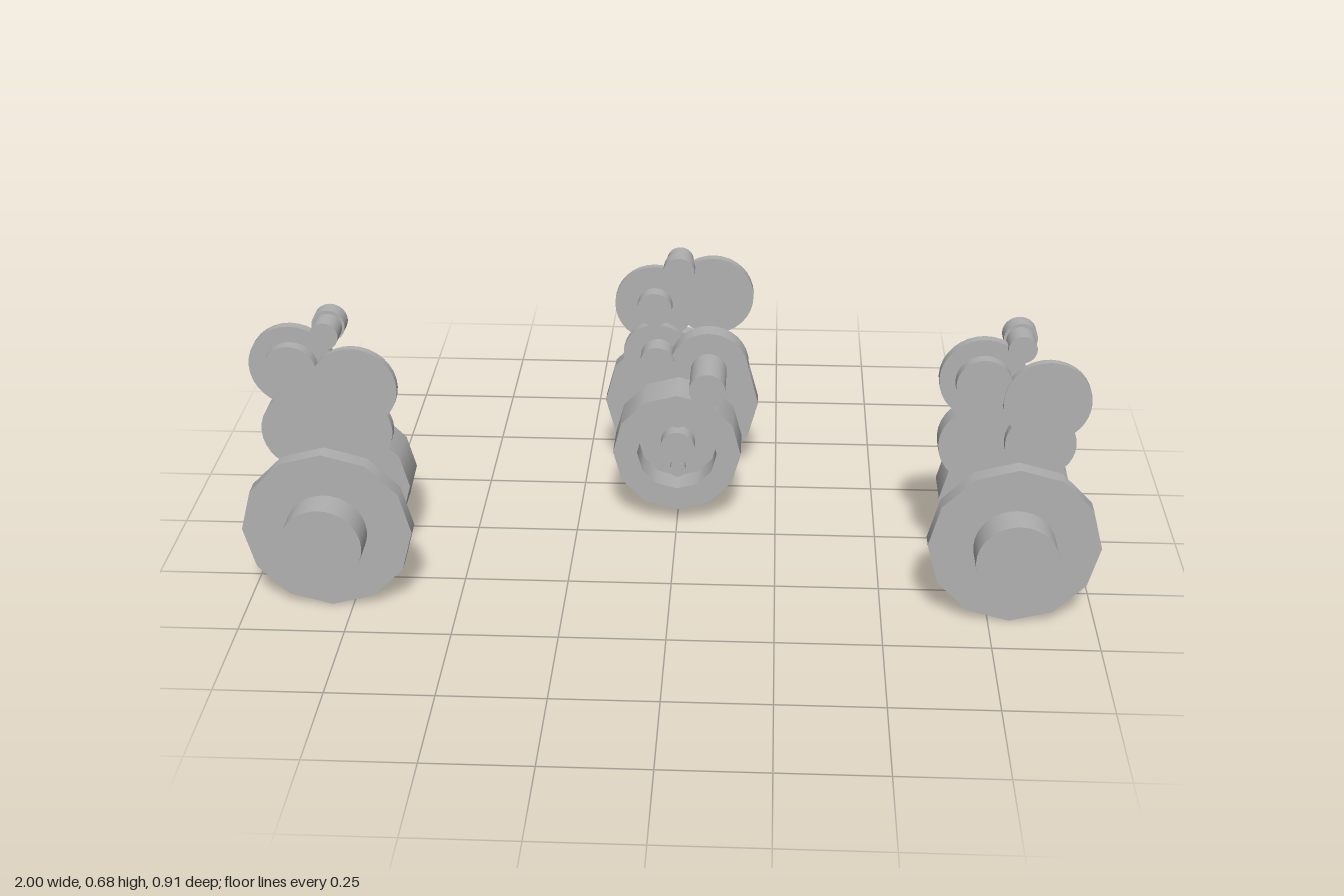
import * as THREE from 'three';

const grey = new THREE.MeshStandardMaterial({ color: 0xb0b0b0 });
grey.name = 'plain grey';

// Round part lying along z from z0 to z1, centred on (x, y)
function round(name, x, y, r, z0, z1, sides = 32) {
  const geo = new THREE.CylinderGeometry(r, r, z1 - z0, sides);
  geo.rotateX(Math.PI / 2);
  const mesh = new THREE.Mesh(geo, grey);
  mesh.name = name;
  mesh.position.set(x, y, (z0 + z1) / 2);
  return mesh;
}

// Cup-shaped drum, open towards -z; corners are doubled to keep edges crisp
function cup(name, y, rOut, rIn, z0, floor, z1, sides) {
  const corners = [[rIn, floor], [rIn, z0], [rOut, z0], [rOut, z1]];
  const pts = [[0, floor], ...corners.flatMap(c => [c, c]), [0, z1]];
  const geo = new THREE.LatheGeometry(pts.map(p => new THREE.Vector2(...p)), sides);
  geo.rotateX(Math.PI / 2);
  const mesh = new THREE.Mesh(geo, grey);
  mesh.name = name;
  mesh.position.y = y;
  return mesh;
}

function gearTrain(name) {
  const g = new THREE.Group();
  g.name = name;
  const cy = 0.2;
  g.add(
    // Main axle
    round('knob', 0, cy, 0.095, 0.38, 0.455),
    round('mainDisc', 0, cy, 0.2, 0.34, 0.38, 12),
    round('discCollar', 0, cy, 0.073, 0.32, 0.34),
    round('mainShaft', 0, cy, 0.06, 0.237, 0.32),
    round('drumCollar', 0, cy, 0.07, 0.155, 0.237),
    cup('drum', cy, 0.16, 0.1, 0.047, 0.115, 0.155, 12),
    round('drumPost', 0, cy, 0.043, 0.075, 0.116),
    // Idler with its long pin
    round('idlerWheel', -0.075, 0.376, 0.1, 0.165, 0.215),
    round('idlerPin', -0.075, 0.376, 0.045, 0.042, 0.165),
    // Second wheel
    round('secondWheel', 0.06, 0.393, 0.083, 0.215, 0.238),
    round('secondPinion', 0.055, 0.394, 0.043, 0.16, 0.215),
    // Third wheel
    round('thirdWheel', 0.064, 0.517, 0.101, 0.25, 0.268),
    round('thirdPinion', 0.064, 0.517, 0.044, 0.213, 0.25),
    // Fourth wheel
    round('fourthWheel', -0.083, 0.557, 0.101, 0.215, 0.238),
    round('fourthPinion', -0.083, 0.555, 0.064, 0.238, 0.266),
    // Top pinion
    round('topPinionHead', 0, 0.642, 0.039, 0.155, 0.195),
    round('topPinionShaft', 0, 0.64, 0.033, 0.195, 0.25)
  );
  // Small pins on the drum floor
  for (const s of [-1, 1]) g.add(round('drumPin', 0, cy + s * 0.07, 0.02, 0.09, 0.116, 16));
  return g;
}

export function createModel() {
  const model = new THREE.Group();
  model.name = 'gearTrains';
  for (const s of [-1, 1]) {
    const side = gearTrain(s > 0 ? 'leftGearTrain' : 'rightGearTrain');
    side.position.x = s * 0.8;
    model.add(side);
  }
  // Middle train faces backwards
  const middle = gearTrain('middleGearTrain');
  middle.rotation.y = Math.PI;
  model.add(middle);
  return model;
}
